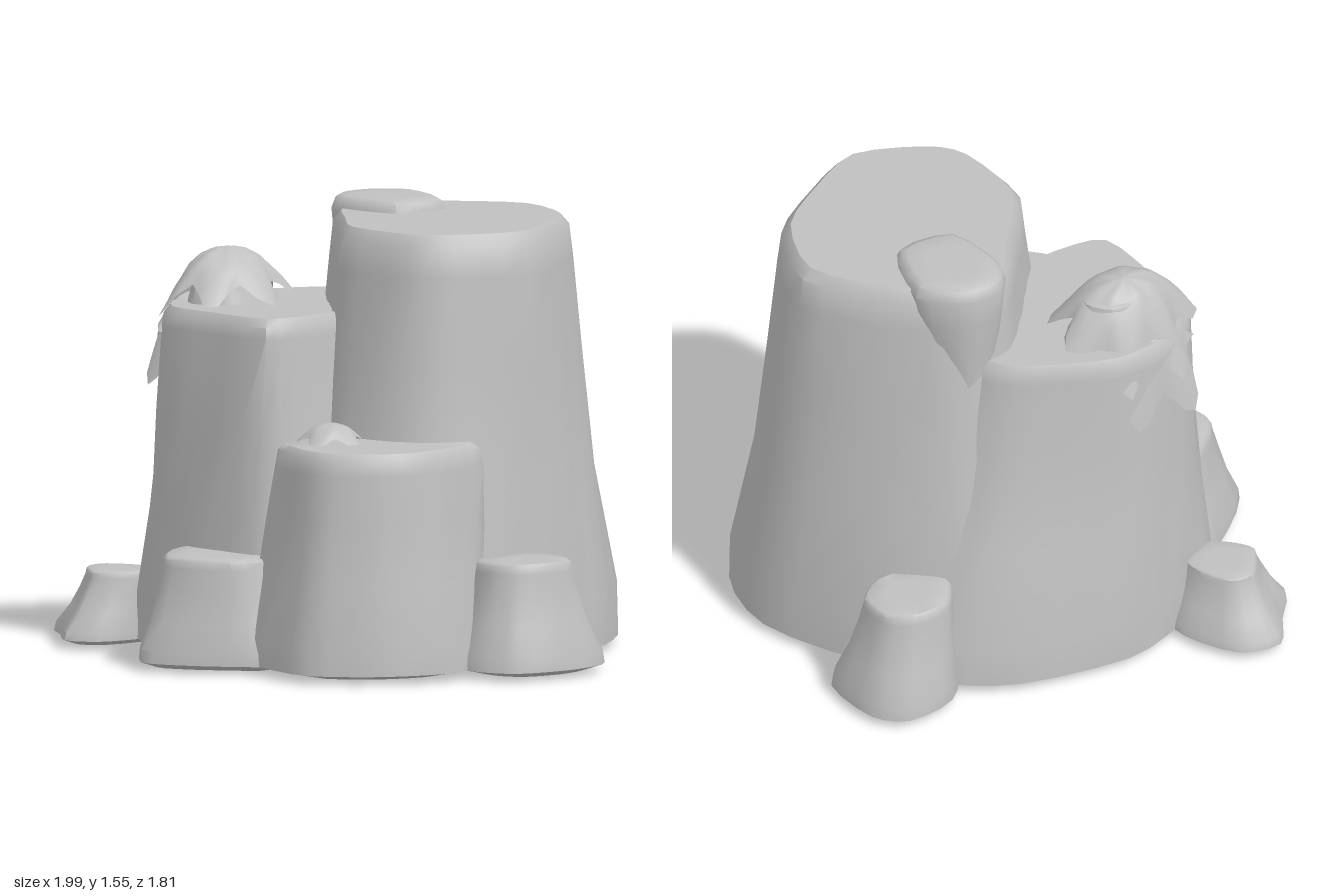
import * as THREE from 'three';
import { mergeVertices, toCreasedNormals } from 'three/addons/utils/BufferGeometryUtils.js';

const stone = new THREE.MeshStandardMaterial({ color: 0xc0c0c0 });
stone.name = 'grey stone';
stone.side = THREE.DoubleSide;

// Indexed surface through closed rings of equal length, bottom to top
function loft(rings) {
  const n = rings[0].length, index = [];
  for (let k = 0; k < rings.length - 1; k++) {
    for (let i = 0; i < n; i++) {
      const j = (i + 1) % n, a = k * n, b = a + n;
      index.push(a + j, a + i, b + i, a + j, b + i, b + j);
    }
  }
  const g = new THREE.BufferGeometry();
  g.setAttribute('position', new THREE.Float32BufferAttribute(rings.flat(2), 3));
  g.setIndex(index);
  return g;
}

// Smooth a closed [x, z] outline into evenly split points
function smooth(outline) {
  const curve = new THREE.CatmullRomCurve3(outline.map(([x, z]) => new THREE.Vector3(x, 0, z)), true, 'catmullrom', 0.4);
  return Array.from({ length: outline.length * 3 }, (_, i) => {
    const p = curve.getPoint(i / (outline.length * 3));
    return [p.x, p.z];
  });
}

// Worn rock: each row holds base x, base z, shoulder x, shoulder z
function rock(name, rows, height, { bottom = 0.03, shoulder = 0.9, lip = 0.9 } = {}) {
  const area = rows.reduce((s, r, i) => {
    const q = rows[(i + 1) % rows.length];
    return s + r[0] * q[1] - q[0] * r[1];
  }, 0);
  const list = area > 0 ? rows : [...rows].reverse();
  const base = smooth(list.map(r => [r[0], r[1]]));
  const top = smooth(list.map(r => [r[2], r[3]]));
  const centre = pts => [0, 1].map(c => pts.reduce((s, p) => s + p[c], 0) / pts.length);
  const cb = centre(base), ct = centre(top);
  const ring = (y, t, scale = 1) => base.map((p, i) => {
    const q = top[i], dent = t > 0 && t < 1 ? 1 + 0.012 * Math.sin(i * 2.1 + y * 6) : 1;
    const cx = cb[0] + (ct[0] - cb[0]) * t, cz = cb[1] + (ct[1] - cb[1]) * t;
    const x = p[0] + (q[0] - p[0]) * t, z = p[1] + (q[1] - p[1]) * t;
    return [cx + (x - cx) * scale * dent, y, cz + (z - cz) * scale * dent];
  });
  const span = height - bottom, at = f => bottom + span * f;
  const under = Math.max(0, bottom - 0.03);
  const g = loft([
    ring(under, 0, 0.001), ring(under + 0.01, 0, 0.7), ring(bottom, 0),
    ring(at(0.12), 0.06), ring(at(0.4), 0.5), ring(at(0.68), 0.8), ring(at(shoulder), 1),
    ring(at(0.975), 1, (1 + lip) / 2 + 0.02), ring(height, 1, lip), ring(height, 1, 0.5), ring(height, 1, 0.001)
  ]);
  const mesh = new THREE.Mesh(toCreasedNormals(g, 0.75), stone);
  mesh.name = name;
  return mesh;
}

// Drooping, ragged tuft: reach and drop vary with direction
function tuft(name, x, y, z, reach, drop, lobes) {
  const n = 32, rings = [];
  for (let k = 5; k >= 0; k--) {
    const r = Math.max(k / 5, 0.001);
    rings.push(Array.from({ length: n }, (_, i) => {
      const a = i / n * Math.PI * 2;
      const rag = 1 + 0.2 * r * r * Math.cos(a * lobes);
      const d = drop(a) * Math.pow(r, 2.4) * (1 + 0.25 * Math.cos(a * lobes));
      return [x + Math.cos(a) * reach[0] * r * rag, y - d, z + Math.sin(a) * reach[1] * r * rag];
    }));
  }
  const g = mergeVertices(loft(rings));
  g.computeVertexNormals();
  const mesh = new THREE.Mesh(g, stone);
  mesh.name = name;
  return mesh;
}

export function createModel() {
  const model = new THREE.Group();
  model.name = 'steppedRock';
  model.add(
    // Stepped body
    rock('tower', [
      [0.13, -0.89, 0.1, -0.76], [0.43, -0.83, 0.38, -0.66], [0.65, -0.55, 0.53, -0.43],
      [0.7, -0.3, 0.62, -0.2], [0.68, 0.1, 0.5, 0.06], [0.45, 0.38, 0.37, 0.16],
      [0.1, 0.4, 0.07, 0.17], [-0.2, 0.2, -0.12, 0.02], [-0.5, -0.1, -0.33, -0.18],
      [-0.55, -0.4, -0.32, -0.4], [-0.25, -0.72, -0.15, -0.6]], 1.515),
    rock('middleShoulder', [
      [-0.15, -0.75, -0.2, -0.35], [-0.5, -0.58, -0.42, -0.28], [-0.67, -0.35, -0.53, -0.12],
      [-0.76, 0.05, -0.63, 0.1], [-0.7, 0.3, -0.62, 0.33], [-0.62, 0.5, -0.48, 0.5],
      [-0.35, 0.59, -0.25, 0.51], [0, 0.6, 0.01, 0.49], [0.2, 0.5, 0.06, 0.3],
      [0.2, 0, 0.05, 0], [0.1, -0.4, 0, -0.2]], 1.215, { shoulder: 0.94, lip: 0.93 }),
    rock('lowShoulder', [
      [0.05, 0.1, 0.05, 0.1], [0.6, 0, 0.57, 0], [0.73, 0.17, 0.65, 0.15],
      [0.76, 0.35, 0.66, 0.38], [0.65, 0.57, 0.57, 0.54], [0.45, 0.73, 0.42, 0.64],
      [0.2, 0.7, 0.22, 0.6], [0.02, 0.62, 0.08, 0.5]], 0.8),
    // Overhanging lump on the tower rim
    rock('rimLump', [
      [-0.26, -0.2, -0.28, -0.16], [-0.34, -0.26, -0.38, -0.24], [-0.36, -0.36, -0.37, -0.38],
      [-0.26, -0.42, -0.24, -0.5], [-0.05, -0.4, 0, -0.42], [-0.08, -0.24, -0.03, -0.2]],
      1.555, { bottom: 1.05, lip: 0.8 }),
    // Boulders around the foot
    rock('frontBoulder', [
      [-0.42, 0.55, -0.3, 0.5], [-0.39, 0.68, -0.3, 0.66], [-0.2, 0.9, -0.18, 0.8],
      [-0.03, 0.85, -0.03, 0.78], [0.14, 0.73, 0.1, 0.68], [0.24, 0.6, 0.12, 0.5]], 0.395),
    rock('leftBoulder', [
      [0.62, -0.25, 0.66, -0.14], [0.86, -0.3, 0.82, -0.17], [0.98, -0.2, 0.91, -0.12],
      [1, -0.02, 0.92, 0], [0.94, 0.17, 0.87, 0.11], [0.8, 0.24, 0.78, 0.15], [0.62, 0.18, 0.65, 0.1]], 0.4),
    rock('rightBoulder', [
      [-0.6, 0.3, -0.62, 0.36], [-0.76, 0.28, -0.74, 0.36], [-0.95, 0.38, -0.85, 0.42],
      [-0.99, 0.53, -0.86, 0.5], [-0.87, 0.62, -0.8, 0.56], [-0.76, 0.71, -0.73, 0.6],
      [-0.65, 0.65, -0.66, 0.56], [-0.6, 0.5, -0.6, 0.48]], 0.265),
    rock('backBoulder', [
      [-0.2, -0.6, -0.3, -0.56], [-0.2, -0.74, -0.28, -0.7], [-0.3, -0.9, -0.35, -0.8],
      [-0.53, -0.89, -0.48, -0.8], [-0.63, -0.79, -0.55, -0.72], [-0.61, -0.6, -0.55, -0.58],
      [-0.45, -0.48, -0.42, -0.48]], 0.4),
    // Tufts on the ledges
    tuft('largeTuft', -0.44, 1.405, 0.24, [0.2, 0.24], a => 0.15 + 0.15 * Math.max(0, -Math.cos(a)), 7),
    tuft('hangingTuft', -0.56, 1.24, 0.27, [0.11, 0.18], a => 0.1 + 0.2 * Math.max(0, -Math.cos(a)), 5),
    tuft('smallTuft', 0.23, 0.865, 0.39, [0.11, 0.11], () => 0.06, 5),
    // Lump beneath the large tuft
    rock('tuftRoot', [
      [-0.3, 0.1, -0.36, 0.14], [-0.3, 0.32, -0.36, 0.3], [-0.45, 0.4, -0.45, 0.36],
      [-0.58, 0.3, -0.53, 0.28], [-0.56, 0.08, -0.52, 0.14], [-0.44, -0.05, -0.44, 0.08]],
      1.36, { bottom: 1.15 })
  );
  return model;
}
